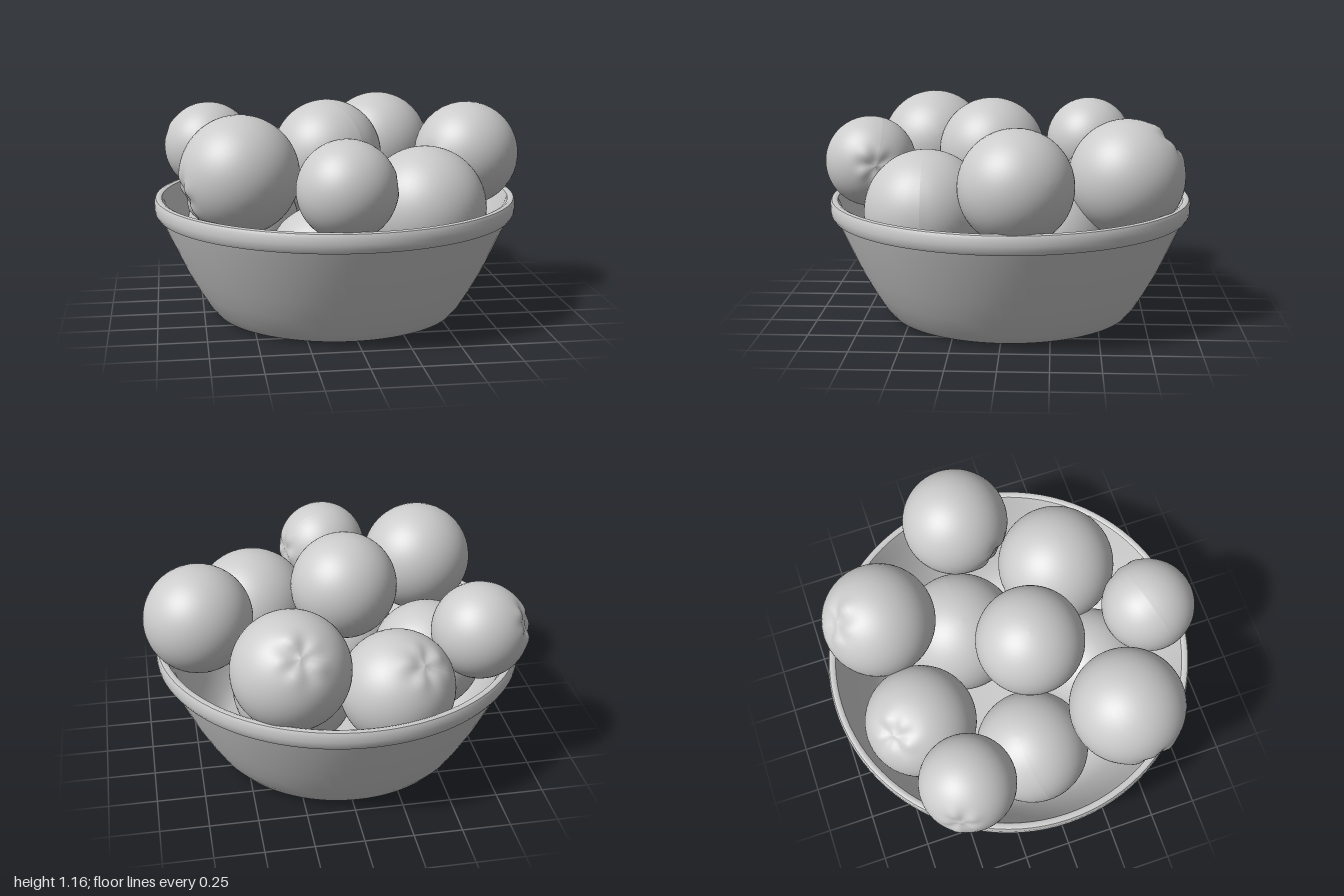
import * as THREE from 'three';
import { toCreasedNormals } from 'three/addons/utils/BufferGeometryUtils.js';

const material = new THREE.MeshStandardMaterial({ color: 0xcccccc, roughness: 0.8 });

// Sphere with a puckered navel around its pole, the pole turned to face `dir`
function makeFruit(name, x, y, z, radius, dir, phase) {
  const geometry = new THREE.SphereGeometry(1, 48, 40);
  const pos = geometry.attributes.position;
  const p = new THREE.Vector3();
  const bell = (t, centre, width) => Math.exp(-(((t - centre) / width) ** 2));
  for (let i = 0; i < pos.count; i++) {
    p.fromBufferAttribute(pos, i).normalize();
    const t = Math.acos(THREE.MathUtils.clamp(p.y, -1, 1));
    const a = Math.atan2(p.z, p.x) + phase;
    const pucker = 0.018 * (Math.cos(5 * a) + 0.6 * Math.cos(3 * a + 1)) * bell(t, 0.32, 0.15);
    const r = 1 - 0.11 * bell(t, 0, 0.2) + 0.06 * bell(t, 0, 0.09) + pucker;
    p.multiplyScalar(r * radius);
    pos.setXYZ(i, p.x, p.y, p.z);
  }
  geometry.computeVertexNormals();
  const fruit = new THREE.Mesh(geometry, material);
  fruit.name = name;
  fruit.position.set(x, y, z);
  fruit.quaternion.setFromUnitVectors(new THREE.Vector3(0, 1, 0), new THREE.Vector3(...dir).normalize());
  return fruit;
}

function makeBowl() {
  // Base, flared wall, thick rounded rim, then the inside down to the floor
  const profile = [
    [0, 0], [0.625, 0], [0.655, 0.012], [0.695, 0.06], [0.75, 0.15], [0.81, 0.26],
    [0.87, 0.39], [0.915, 0.49], [0.935, 0.54], [0.955, 0.545], [0.967, 0.565],
    [0.97, 0.59], [0.97, 0.625], [0.962, 0.642], [0.945, 0.647], [0.93, 0.64],
    [0.918, 0.61], [0.89, 0.53], [0.83, 0.38], [0.76, 0.24], [0.69, 0.13],
    [0.62, 0.08], [0.5, 0.06], [0, 0.06],
  ].map(([r, y]) => new THREE.Vector2(r, y));
  const bowl = new THREE.Mesh(toCreasedNormals(new THREE.LatheGeometry(profile, 96), 0.75), material);
  bowl.name = 'bowl';
  bowl.position.set(-0.03, 0, -0.025);
  return bowl;
}

export function createModel() {
  const model = new THREE.Group();
  model.name = 'fruitBowl';
  model.add(makeBowl());

  // x, y, z, radius, navel direction
  const fruits = [
    [-0.69, 0.84, -0.465, 0.248, [-0.83, 0.3, -0.4]],
    [-0.24, 0.62, -0.585, 0.295, [-0.33, 0.72, -0.55]],
    [0.305, 0.805, -0.635, 0.3, [-0.07, 0.66, -0.75]],
    [0.71, 0.83, -0.08, 0.285, [-0.77, -0.2, 0.56]],
    [-0.085, 0.875, 0.075, 0.286, [0.2, -1, 0.1]],
    [-0.525, 0.48, -0.06, 0.3, [0, -1, 0.3]],
    [0.235, 0.455, -0.22, 0.325, [0.2, -1, 0]],
    [-0.57, 0.84, 0.435, 0.3, [-0.93, -0.3, 0.15]],
    [0.38, 0.635, 0.39, 0.318, [0, -1, 0]],
    [-0.075, 0.812, 0.74, 0.246, [0.95, 0.05, -0.25]],
    [-0.14, 0.37, 0.42, 0.3, [0, -1, 0]],
  ];
  const group = new THREE.Group();
  group.name = 'fruits';
  fruits.forEach(([x, y, z, r, dir], i) => group.add(makeFruit('fruit' + (i + 1), x, y, z, r, dir, i * 1.3)));
  model.add(group);
  return model;
}
